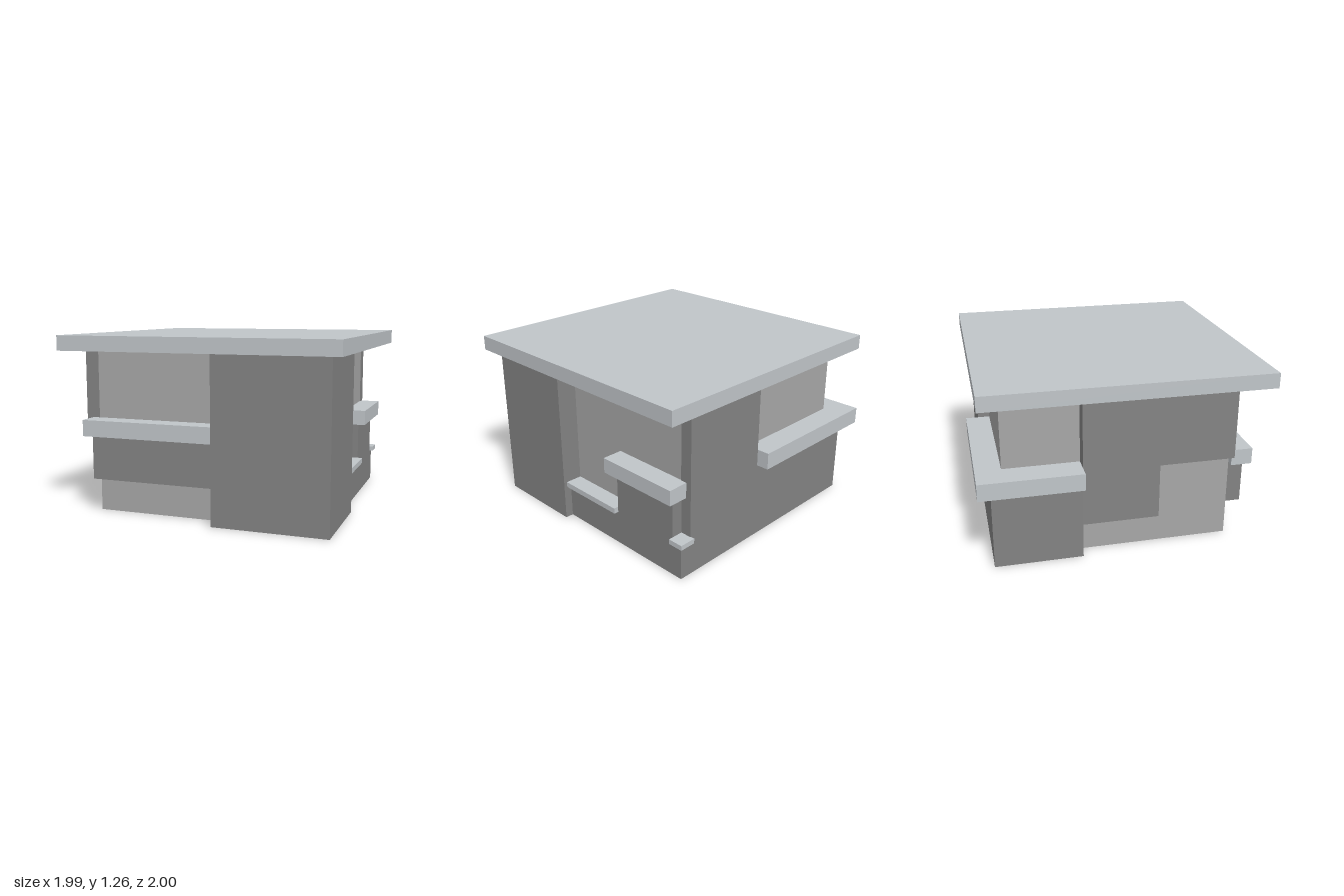
import * as THREE from 'three';

const wallGrey = new THREE.MeshStandardMaterial({ color: 0x838383 });
wallGrey.name = 'wall grey';
const paneGrey = new THREE.MeshStandardMaterial({ color: 0xa7a7a7 });
paneGrey.name = 'pane light grey';
const slabGrey = new THREE.MeshStandardMaterial({ color: 0xc0c5c9 });
slabGrey.name = 'slab pale grey';

const WALL_TOP = 1.16;

export function createModel() {
  const model = new THREE.Group();
  model.name = 'pavilion';

  // Box given by its [min, max] range on each axis
  const block = (name, material, [x0, x1], [y0, y1], [z0, z1]) => {
    const mesh = new THREE.Mesh(new THREE.BoxGeometry(x1 - x0, y1 - y0, z1 - z0), material);
    mesh.position.set((x0 + x1) / 2, (y0 + y1) / 2, (z0 + z1) / 2);
    mesh.name = name;
    model.add(mesh);
  };

  // Plan outline (x, z) extruded from y0 to y1
  const slab = (name, material, outline, y0, y1) => {
    const shape = new THREE.Shape(outline.map(([x, z]) => new THREE.Vector2(x, -z)));
    const geometry = new THREE.ExtrudeGeometry(shape, { depth: y1 - y0, bevelEnabled: false });
    geometry.rotateX(-Math.PI / 2).translate(0, y0, 0);
    const mesh = new THREE.Mesh(geometry, material);
    mesh.name = name;
    model.add(mesh);
  };

  // Light inner core, seen through all the wall openings
  block('innerCore', paneGrey, [-0.81, 0.76], [0, WALL_TOP], [-0.825, 0.76]);

  // Full-height walls
  block('frontCornerBlock', wallGrey, [0.1, 0.91], [0, WALL_TOP], [0.23, 0.91]);
  block('backWall', wallGrey, [0.1, 0.765], [0, WALL_TOP], [-0.91, -0.825]);

  // Left wall, stepped along its lower edge
  block('leftWallRear', wallGrey, [-0.91, -0.81], [0.25, WALL_TOP], [-0.3, 0.23]);
  block('leftWallFront', wallGrey, [-0.91, -0.81], [0.64, WALL_TOP], [0.23, 0.76]);

  // Low walls under the windows
  block('frontPanel', wallGrey, [-0.81, 0.1], [0.25, 0.56], [0.76, 0.865]);
  block('rightLowWallFront', wallGrey, [0.76, 0.85], [0, 0.25], [-0.3, 0.23]);
  block('rightLowWallMiddle', wallGrey, [0.76, 0.85], [0, 0.56], [-0.83, -0.3]);
  block('rightLowWallCorner', wallGrey, [0.76, 0.85], [0, 0.25], [-0.91, -0.83]);
  slab('rearLowWall', wallGrey,
    [[-0.91, -0.3], [-0.81, -0.3], [-0.81, -0.825], [0.1, -0.825], [0.1, -0.91], [-0.91, -0.91]], 0, 0.56);

  // Thick ledges
  block('frontLedge', slabGrey, [-0.86, 0.1], [0.56, 0.675], [0.76, 0.91]);
  block('rightLedge', slabGrey, [0.76, 0.91], [0.56, 0.67], [-0.87, -0.24]);
  slab('rearLedge', slabGrey,
    [[-1, -0.3], [-0.81, -0.3], [-0.81, -0.825], [0.1, -0.825], [0.1, -1], [-1, -1]], 0.56, 0.68);

  // Thin sills
  block('rightSill', slabGrey, [0.76, 0.885], [0.25, 0.29], [-0.3, 0.23]);
  block('cornerSill', slabGrey, [0.76, 0.88], [0.25, 0.285], [-0.94, -0.83]);

  // Flat roof
  block('roof', slabGrey, [-0.99, 0.99], [WALL_TOP, 1.265], [-0.97, 1]);

  return model;
}
